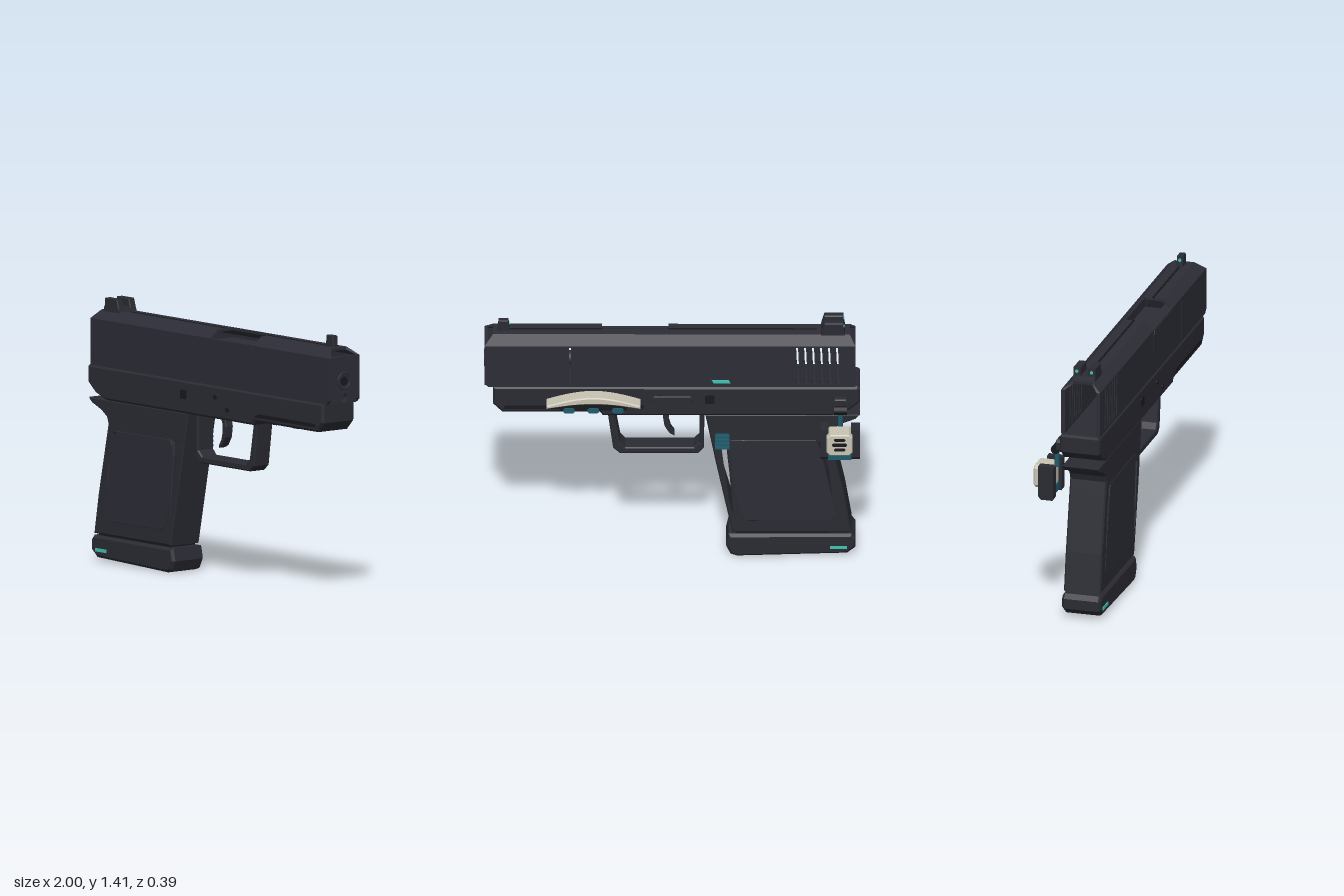
import * as THREE from 'three';

const mat = (name, color) => Object.assign(new THREE.MeshStandardMaterial({ color }), { name });

export function createModel() {
  const root = new THREE.Group();
  root.name = 'pistol';
  const steel = mat('slide steel', 0x2c2d36);
  const polymer = mat('frame polymer', 0x2a2b33);
  const dark = mat('dark recess', 0x18191d);
  const ivory = mat('ivory plastic', 0xc8c4b3);
  const teal = mat('deep teal', 0x1f5b6d);
  const glow = mat('bright teal', 0x3fc4b0);
  const MID = 0.075; // centre plane of the gun body

  const add = (name, geo, m, parent = root) => {
    const mesh = new THREE.Mesh(geo, m);
    mesh.name = name;
    parent.add(mesh);
    return mesh;
  };
  const group = (name) => {
    const g = new THREE.Group();
    g.name = name;
    root.add(g);
    return g;
  };
  const toShape = (pts, holes = []) => {
    const s = new THREE.Shape(pts.map(([a, b]) => new THREE.Vector2(a, b)));
    for (const h of holes) s.holes.push(h.isPath ? h : new THREE.Path(h.map(([a, b]) => new THREE.Vector2(a, b))));
    return s;
  };
  // side profile (x, y) given a thickness between z0 and z1
  const side = (pts, z0, z1, bevel = 0, holes = []) => {
    const g = new THREE.ExtrudeGeometry(toShape(pts, holes), {
      depth: z1 - z0 - 2 * bevel, bevelEnabled: bevel > 0, bevelSize: bevel, bevelThickness: bevel,
      bevelOffset: -bevel, bevelSegments: 1, curveSegments: 8,
    });
    return g.translate(0, 0, z0 + bevel);
  };
  // end profile (z, y) drawn out along x
  const along = (pts, x0, x1, hole) => {
    const s = toShape(pts.map(([z, y]) => [-z, y]));
    if (hole) s.holes.push(new THREE.Path().absarc(-hole[0], hole[1], hole[2], 0, Math.PI * 2));
    const g = new THREE.ExtrudeGeometry(s, { depth: x1 - x0, bevelEnabled: false });
    return g.rotateY(Math.PI / 2).translate(x0, 0, 0);
  };
  const box = (x0, x1, y0, y1, z0, z1) =>
    new THREE.BoxGeometry(x1 - x0, y1 - y0, z1 - z0).translate((x0 + x1) / 2, (y0 + y1) / 2, (z0 + z1) / 2);
  const rect = (x0, x1, y0, y1, c = 0) => c
    ? [[x0 + c, y0], [x1 - c, y0], [x1, y0 + c], [x1, y1 - c], [x1 - c, y1], [x0 + c, y1], [x0, y1 - c], [x0, y0 + c]]
    : [[x0, y0], [x1, y0], [x1, y1], [x0, y1]];

  // Slide: hollow shell with slotted walls and an open rear
  const slide = group('slide');
  const slots = [rect(0.54, 0.55, 1.065, 1.292)];
  for (let i = 0; i < 6; i++) {
    const x = -0.892 + i * 0.0425;
    slots.push([[x, 1.065], [x + 0.016, 1.065], [x + 0.026, 1.292], [x + 0.01, 1.292]]);
  }
  const wall = [[-0.975, 1.05], [0.98, 1.05], [1, 1.07], [1, 1.3], [-0.975, 1.3]];
  add('leftWall', side(wall, 0.163, 0.183, 0, slots), steel, slide);
  add('rightWall', side(wall, -0.033, -0.013, 0, slots), steel, slide);
  const cap = [[0.183, 1.3], [0.13, 1.345], [0.02, 1.345], [-0.033, 1.3], [-0.013, 1.3], [0.027, 1.33], [0.123, 1.33], [0.163, 1.3]];
  const farCap = [[0.03, 1.345], [0.02, 1.345], [-0.033, 1.3], [-0.013, 1.3], [0.03, 1.33]];
  for (const [name, profile, x0, x1] of [['rearRoof', cap, -0.975, 0.02], ['portRoof', farCap, 0.02, 0.375], ['frontRoof', cap, 0.375, 1]]) {
    const g = along(profile, x0, x1);
    const p = g.attributes.position;
    for (let i = 0; i < p.count; i++) {
      if (p.getY(i) > 1.31) p.setX(i, THREE.MathUtils.clamp(p.getX(i), -0.945, 0.955)); // sloped ends
    }
    g.computeVertexNormals();
    add(name, g, steel, slide);
  }
  add('muzzleFace', along([[0.163, 1.05], [0.163, 1.302], [-0.013, 1.302], [-0.013, 1.05]], 0.98, 0.999, [MID, 1.08, 0.021]), steel, slide);
  add('rearRoofLine', box(-0.77, 0.02, 1.343, 1.347, 0.068, 0.08), dark, slide);
  add('frontRoofLine', box(0.375, 0.88, 1.343, 1.347, 0.068, 0.08), dark, slide);
  add('slideStripe', side([[-0.31, 1.075], [-0.22, 1.075], [-0.21, 1.095], [-0.3, 1.095]], -0.038, -0.032), glow, slide);

  // Barrel, muzzle ring and chamber block below the port
  const rod = (r, len, x, y, z, n = 20) => new THREE.CylinderGeometry(r, r, len, n).rotateZ(Math.PI / 2).translate(x, y, z);
  add('barrel', rod(0.04, 0.62, 0.675, 1.17, MID), steel);
  add('muzzleRing', new THREE.TorusGeometry(0.042, 0.006, 6, 24).rotateY(Math.PI / 2).translate(0.998, 1.17, MID), steel);
  add('bore', rod(0.024, 0.006, 0.999, 1.17, MID), dark);
  add('chamberBlock', box(0.022, 0.373, 1.125, 1.292, 0.03, 0.17), steel);
  add('portPlate', side(rect(0.022, 0.373, 1.15, 1.295, 0.018), 0.18, 0.186), steel);

  // Sights
  const sights = group('sights');
  add('rearSightBase', side([[-0.92, 1.34], [-0.79, 1.34], [-0.8, 1.365], [-0.915, 1.365]], 0.015, 0.138), polymer, sights);
  for (const z of [0.015, 0.097]) {
    add('rearSightPost', side([[-0.915, 1.36], [-0.795, 1.36], [-0.81, 1.412], [-0.91, 1.412]], z, z + 0.041, 0.004), polymer, sights);
    add('rearSightDot', rod(0.009, 0.008, -0.912, 1.388, z + 0.02, 12), glow, sights);
  }
  add('frontSight', side([[0.865, 1.34], [0.93, 1.34], [0.925, 1.405], [0.872, 1.405]], 0.057, 0.093, 0.004), polymer, sights);
  add('frontSightDot', rod(0.009, 0.008, 0.869, 1.382, MID, 12), glow, sights);

  // Frame
  const frame = group('frame');
  add('frameBody', side([[-1, 1.04], [-1, 0.955], [-0.94, 0.905], [-0.845, 0.872], [0.37, 0.872], [0.385, 0.893],
    [0.905, 0.893], [0.955, 0.945], [0.955, 1.05], [-0.985, 1.05]], -0.036, 0.187, 0.012), polymer, frame);
  for (const z of [-0.038, 0.185]) {
    add('railGroove', side([[0.38, 0.917], [0.9, 0.917], [0.89, 0.937], [0.43, 0.937]], z, z + 0.004), dark, frame);
    add('takedownTab', side(rect(-0.225, -0.175, 0.95, 1, 0.006), z - 0.001, z + 0.005), dark, frame);
    for (const [x, y] of [[0.065, 0.99], [0.165, 0.93]]) {
      add('pin', new THREE.CylinderGeometry(0.013, 0.013, 0.012, 14).rotateX(Math.PI / 2).translate(x, y, z + 0.002), dark, frame);
    }
  }
  add('slideStop', side(rect(-0.11, 0.11, 0.965, 1.0, 0.012), -0.05, -0.03, 0.004), polymer, frame);
  for (const x of [0.5, 0.68]) add('railSlot', box(x, x + 0.05, 0.89, 0.896, -0.02, 0.17), dark, frame);

  // Trigger guard and trigger
  add('triggerGuard', side([[-0.172, 0.88], [-0.168, 0.64], [-0.138, 0.608], [0.28, 0.608], [0.315, 0.64], [0.347, 0.88],
    [0.312, 0.88], [0.277, 0.675], [0.25, 0.645], [-0.115, 0.645], [-0.145, 0.675], [-0.145, 0.88]], 0.02, 0.13, 0.007), polymer);
  add('trigger', side([[0, 0.88], [0.035, 0.88], [0.05, 0.82], [0.042, 0.76], [0.015, 0.715], [-0.012, 0.7],
    [-0.012, 0.715], [0.008, 0.745], [0.02, 0.79], [0.018, 0.83]], 0.05, 0.1, 0.003), polymer);

  // Grip with narrow slots beside the panel
  const grip = group('grip');
  const gripOutline = [[-1, 0.872], [-0.975, 0.845], [-0.9, 0.815], [-0.85, 0.78], [-0.838, 0.745], [-0.848, 0.7],
    [-0.92, 0.36], [-0.955, 0.145], [-0.32, 0.145], [-0.235, 0.56], [-0.175, 0.875]];
  const rearSlot = [[-0.79, 0.7], [-0.777, 0.7], [-0.82, 0.53], [-0.85, 0.36], [-0.828, 0.53]];
  const frontSlot = [[-0.295, 0.715], [-0.262, 0.705], [-0.232, 0.645], [-0.258, 0.51], [-0.322, 0.27], [-0.305, 0.5], [-0.292, 0.63]];
  add('gripBody', side(gripOutline, -0.026, 0.178, 0.008, [rearSlot, frontSlot]), polymer, grip);
  const panel = [[-0.765, 0.715], [-0.312, 0.718], [-0.303, 0.69], [-0.335, 0.37], [-0.365, 0.25], [-0.4, 0.222],
    [-0.85, 0.222], [-0.87, 0.25], [-0.845, 0.39], [-0.79, 0.65]];
  for (const z of [-0.029, 0.175]) add('gripPanel', side(panel, z, z + 0.006, 0.002), steel, grip);
  add('releaseButton', side(rect(-0.3, -0.232, 0.665, 0.76), -0.036, -0.024), teal, grip);
  for (let i = 0; i < 4; i++) {
    add('releaseRib', box(-0.305, -0.228, 0.67 + i * 0.024, 0.683 + i * 0.024, -0.046, -0.03), teal, grip);
  }

  // Magazine floor plate
  const magazine = group('magazine');
  add('magazineNeck', box(-0.93, -0.34, 0.1, 0.16, -0.01, 0.16), dark, magazine);
  add('floorPlate', side([[-0.955, 0.136], [-0.3, 0.134], [-0.285, 0.065], [-0.31, 0.012], [-0.345, 0],
    [-0.93, 0.018], [-0.975, 0.055], [-0.975, 0.11]], -0.032, 0.184, 0.014), polymer, magazine);
  for (const z of [-0.036, 0.182]) add('floorPlateStripe', box(-0.93, -0.84, 0.05, 0.068, z, z + 0.006), glow, magazine);

  // Arched accessory on the right side
  const arch = group('archedAccessory');
  const bow = [];
  for (let i = 0; i <= 12; i++) bow.push([0.17 + i * 0.5 / 12, 0.985 + 0.05 * Math.sin(Math.PI * i / 12)]);
  const under = [];
  for (let i = 12; i >= 0; i--) under.push([0.17 + i * 0.5 / 12, 0.967 + 0.028 * Math.sin(Math.PI * i / 12)]);
  add('archShell', side([...bow, ...under], -0.128, -0.042, 0.006), ivory, arch);
  add('archCore', side([[0.24, 0.96], [0.6, 0.96], [0.56, 0.995], [0.28, 0.995]], -0.125, -0.034), dark, arch);
  for (const x of [0.29, 0.42, 0.55]) {
    add('archPad', side(rect(x - 0.03, x + 0.03, 0.945, 0.975, 0.008), -0.132, -0.05), teal, arch);
  }

  // Rear pod: ivory body between two dark ears, hung from a hinge
  const pod = group('rearPod');
  for (const [x0, x1] of [[-1, -0.952], [-0.832, -0.79]]) {
    const ear = [[-0.155, 0.69], [-0.14, 0.67], [-0.075, 0.67], [-0.07, 0.68], [-0.07, 0.85], [-0.08, 0.858], [-0.155, 0.858]];
    add('podEar', along(ear, x0, x1), polymer, pod);
  }
  add('podBody', side(rect(-0.96, -0.822, 0.718, 0.845, 0.018), -0.192, -0.09, 0.006), ivory, pod);
  add('podBase', box(-0.955, -0.828, 0.678, 0.722, -0.168, -0.085), teal, pod);
  for (let i = 0; i < 3; i++) {
    const w = i === 1 ? 0.04 : 0.03;
    add('podSlot', side(rect(-0.891 - w, -0.891 + w, 0.748 + i * 0.03, 0.764 + i * 0.03, 0.006), -0.197, -0.19), dark, pod);
  }
  add('hingeBlock', side(rect(-0.94, -0.85, 0.925, 0.995, 0.015), -0.075, -0.03, 0.005), polymer, pod);
  add('hingeBarrel', rod(0.025, 0.07, -0.895, 0.935, -0.08, 14), dark, pod);
  add('hingeRod', new THREE.CylinderGeometry(0.014, 0.014, 0.1, 12).translate(-0.895, 0.88, -0.08), teal, pod);

  return root;
}
